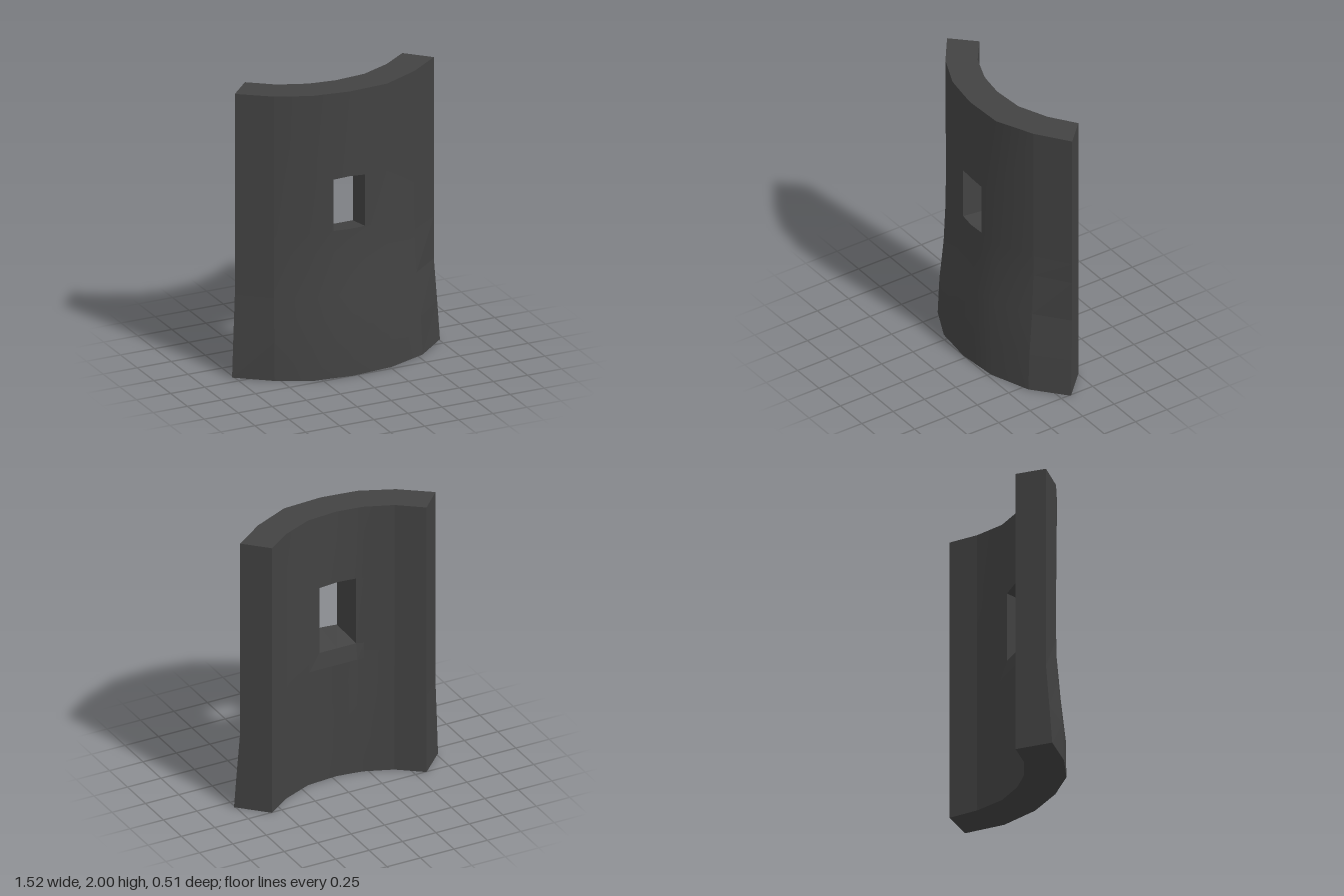
import * as THREE from 'three';
import { toCreasedNormals } from 'three/addons/utils/BufferGeometryUtils.js';

// Columns across the wall: front [x, z], flared foot [x, z], back [x, z], back drawn out to a flat surround
const COLUMNS = [
  { front: [-0.73, -0.10], foot: [-0.765, -0.07], back: [-0.58, -0.255] },
  { front: [-0.52, 0.057], foot: [-0.54, 0.105], back: [-0.41, -0.125] },
  { front: [-0.29, 0.157], foot: [-0.30, 0.22], back: [-0.22, -0.05], bulge: 1 },
  { front: [-0.14, 0.18], foot: [-0.14, 0.238], back: [-0.17, -0.041], bulge: 1 },
  { front: [-0.03, 0.195], foot: [-0.03, 0.252], back: [-0.03, -0.022], bulge: 1 },
  { front: [0.085, 0.189], foot: [0.085, 0.241], back: [0.105, -0.033], bulge: 1 },
  { front: [0.25, 0.18], foot: [0.26, 0.225], back: [0.19, -0.04], bulge: 1 },
  { front: [0.51, 0.06], foot: [0.54, 0.12], back: [0.40, -0.13] },
  { front: [0.73, -0.10], foot: [0.76, -0.07], back: [0.575, -0.255] },
];

// Rows up the wall: front and back height, flare at the middle and at the ends, bulge of the back
const ROWS = [
  { y: 0, backY: 0, mid: 1, end: 1, bulge: 0 },
  { y: 0.27, backY: 0.27, mid: 1, end: 0.55, bulge: 0.3 },
  { y: 0.57, backY: 0.57, mid: 0.45, end: 0, bulge: 0.65 },
  { y: 0.87, backY: 0.86, mid: -0.05, end: 0, bulge: 1 },
  { y: 1.02, backY: 0.975, mid: -0.1, end: 0, bulge: 1 },
  { y: 1.385, backY: 1.465, mid: -0.1, end: 0, bulge: 0.6 },
  { y: 2, backY: 2, mid: 0, end: 0, bulge: 0 },
];

// Opening, as column and row indices
const WIN = { left: 3, right: 5, bottom: 4, top: 5 };

function point(i, j, isFront) {
  const c = COLUMNS[i], r = ROWS[j];
  const lift = j === WIN.top && i === 4 ? 0.01 : 0;
  if (isFront) {
    const side = Math.min(1, Math.abs(c.front[0]) / 0.73);
    const f = THREE.MathUtils.lerp(r.mid, r.end, side * side);
    return [
      THREE.MathUtils.lerp(c.front[0], c.foot[0], f),
      r.y + lift,
      THREE.MathUtils.lerp(c.front[1], c.foot[1], f),
    ];
  }
  // The surround slopes in a little towards the opening
  const onOpening = i >= WIN.left && i <= WIN.right && (j === WIN.bottom || j === WIN.top);
  const z = THREE.MathUtils.lerp(c.back[1], -0.055, c.bulge ? r.bulge : 0);
  return [c.back[0], r.backY + lift, onOpening ? -0.038 : z];
}

const solid = (i, j) =>
  i >= 0 && j >= 0 && i < COLUMNS.length - 1 && j < ROWS.length - 1 &&
  !(i >= WIN.left && i < WIN.right && j >= WIN.bottom && j < WIN.top);

// Flat facets: the end strips of the wall, and the sill and sides around the opening at the back
const isEnd = (i) => i === 0 || i === COLUMNS.length - 2;
const isSurround = (i, j) =>
  i >= WIN.left - 1 && i <= WIN.right && j >= WIN.bottom - 1 && j < WIN.top;

function toGeometry(positions) {
  const geometry = new THREE.BufferGeometry();
  geometry.setAttribute('position', new THREE.Float32BufferAttribute(positions, 3));
  geometry.computeVertexNormals();
  return geometry;
}

function buildWall() {
  const smooth = [], flat = [];
  const quad = (list, a, b, c, d) => list.push(...a, ...b, ...c, ...a, ...c, ...d);

  for (let i = 0; i < COLUMNS.length - 1; i++) {
    for (let j = 0; j < ROWS.length - 1; j++) {
      if (!solid(i, j)) continue;
      const corners = [[i, j], [i + 1, j], [i + 1, j + 1], [i, j + 1]];
      const f = corners.map(([u, v]) => point(u, v, true));
      const b = corners.map(([u, v]) => point(u, v, false));
      quad(isEnd(i) ? flat : smooth, ...f);
      quad(isEnd(i) || isSurround(i, j) ? flat : smooth, b[1], b[0], b[3], b[2]);
      // Close the edges of the wall and the reveals of the opening
      [[0, -1], [1, 0], [0, 1], [-1, 0]].forEach(([di, dj], k) => {
        if (solid(i + di, j + dj)) return;
        const n = (k + 1) % 4;
        quad(flat, f[n], f[k], b[k], b[n]);
      });
    }
  }
  return {
    curvedFaces: toCreasedNormals(toGeometry(smooth), 0.6),
    flatFacesAndEdges: toGeometry(flat),
  };
}

export function createModel() {
  const model = new THREE.Group();
  model.name = 'curvedWallWithWindow';
  const material = new THREE.MeshStandardMaterial({ color: 0x424242 });
  for (const [name, geometry] of Object.entries(buildWall())) {
    const mesh = new THREE.Mesh(geometry, material);
    mesh.name = name;
    model.add(mesh);
  }
  return model;
}
